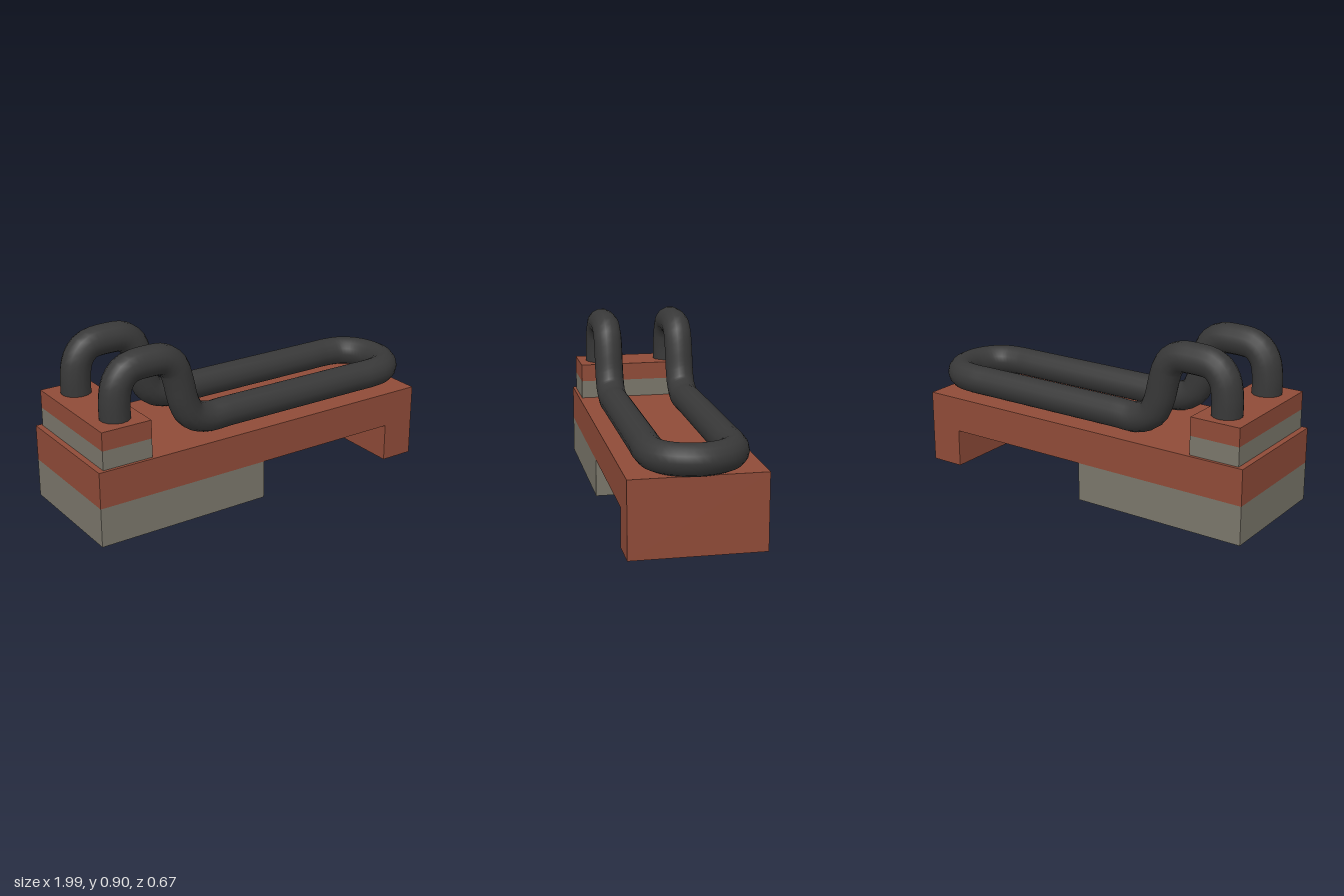
import * as THREE from 'three';

export function createModel() {
  const model = new THREE.Group();
  const mat = (name, color) => {
    const m = new THREE.MeshStandardMaterial({ color });
    m.name = name;
    return m;
  };
  const rust = mat('rust red', 0x8f4b38);
  const grey = mat('warm grey', 0x7a766a);
  const black = mat('rubber black', 0x383838);

  const add = (name, geometry, material) => {
    const mesh = new THREE.Mesh(geometry, material);
    mesh.name = name;
    model.add(mesh);
    return mesh;
  };
  // Box from its x and y limits, centred on z
  const slab = (name, material, x0, x1, y0, y1, depth) =>
    add(name, new THREE.BoxGeometry(x1 - x0, y1 - y0, depth), material)
      .position.set((x0 + x1) / 2, (y0 + y1) / 2, 0);

  // Deck with a downturned foot at the right end
  const depth = 0.666;
  const outline = [[-1, 0.2], [0.73, 0.2], [0.73, 0], [0.91, 0], [0.91, 0.385], [-1, 0.385]];
  const deckShape = new THREE.Shape(outline.map(([x, y]) => new THREE.Vector2(x, y)));
  const deck = new THREE.ExtrudeGeometry(deckShape, { depth, bevelEnabled: false });
  deck.translate(0, 0, -depth / 2);
  add('deckAndFoot', deck, rust);

  // Grey base and the two-layer block that holds the pipe ends
  slab('base', grey, -1, -0.07, 0, 0.2, depth);
  slab('blockLower', grey, -0.97, -0.706, 0.385, 0.482, 0.634);
  slab('blockUpper', rust, -0.97, -0.706, 0.482, 0.576, 0.634);

  // Pipe: one side rises, hooks over, drops and runs along the deck
  const z = 0.197;
  const side = [
    [-0.833, 0.52], [-0.833, 0.67], [-0.815, 0.75], [-0.765, 0.805], [-0.65, 0.82],
    [-0.56, 0.81], [-0.51, 0.765], [-0.487, 0.7], [-0.455, 0.57], [-0.415, 0.5],
    [-0.33, 0.462], [-0.2, 0.462], [0.6, 0.462], [0.72, 0.462],
  ].map(([x, y]) => new THREE.Vector3(x, y, z));
  // Half of the U-bend, then the other side mirrored
  side.push(new THREE.Vector3(0.81, 0.462, 0.178), new THREE.Vector3(0.88, 0.462, 0.115));
  const mirrored = side.map((p) => new THREE.Vector3(p.x, p.y, -p.z)).reverse();
  const path = new THREE.CatmullRomCurve3([...side, new THREE.Vector3(0.914, 0.462, 0), ...mirrored]);
  add('pipe', new THREE.TubeGeometry(path, 160, 0.077, 14, false), black);

  return model;
}
